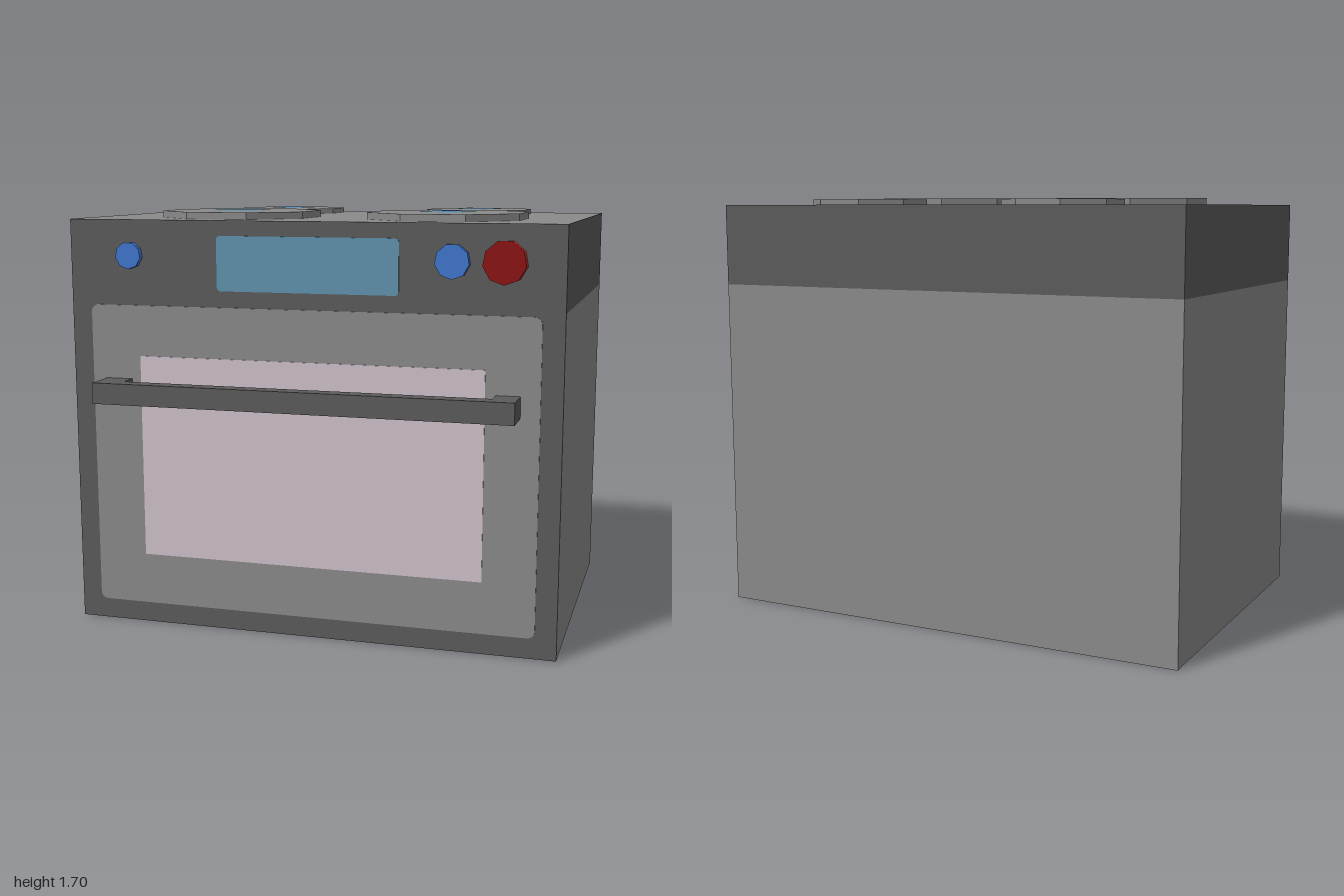
import * as THREE from 'three';

const mat = (name, color) => {
  const m = new THREE.MeshStandardMaterial({ color });
  m.name = name;
  return m;
};

export function createModel() {
  const light = mat('light grey', 0x8a8a8a);
  const dark = mat('dark grey', 0x5b5b5b);
  const glass = mat('window pink', 0xcfc0cb);
  const display = mat('display blue', 0x6092ae);
  const blue = mat('knob blue', 0x3f76cc);
  const red = mat('knob red', 0xd42626);
  const darkRed = mat('knob face red', 0x8c1414);

  const model = new THREE.Group();
  model.name = 'oven';
  const add = (name, geometry, material, parent = model) => {
    const mesh = new THREE.Mesh(geometry, material);
    mesh.name = name;
    parent.add(mesh);
    return mesh;
  };
  // Box given by its limits on each axis
  const box = (name, [x0, x1], [y0, y1], [z0, z1], material, parent) =>
    add(name, new THREE.BoxGeometry(x1 - x0, y1 - y0, z1 - z0)
      .translate((x0 + x1) / 2, (y0 + y1) / 2, (z0 + z1) / 2), material, parent);
  // Thin front plate with rounded corners
  const plate = (name, [x0, x1], [y0, y1], r, z, material) => {
    const s = new THREE.Shape();
    s.moveTo(x0 + r, y0);
    s.lineTo(x1 - r, y0);
    s.absarc(x1 - r, y0 + r, r, -Math.PI / 2, 0);
    s.absarc(x1 - r, y1 - r, r, 0, Math.PI / 2);
    s.absarc(x0 + r, y1 - r, r, Math.PI / 2, Math.PI);
    s.absarc(x0 + r, y0 + r, r, Math.PI, Math.PI * 1.5);
    const g = new THREE.ExtrudeGeometry(s, { depth: 0.004, bevelEnabled: false, curveSegments: 5 });
    return add(name, g.translate(0, 0, z), material);
  };

  // Body: light lower cabinet, dark upper band, light hob surface, dark front
  const back = -0.745, front = 0.6;
  box('cabinet', [-1, 1], [0.002, 1.345], [back, front], [light, light, light, dark, dark, light]);
  box('upperBand', [-1, 1], [1.345, 1.672], [back, front], [dark, dark, light, dark, dark, dark]);
  box('rearBottomStrip', [-1, 1], [0, 0.002], [back, back + 0.04], light);

  // Door, window and display
  plate('door', [-0.915, 0.915], [0.085, 1.33], 0.03, front, light);
  box('window', [-0.705, 0.705], [0.295, 1.125], [front, front + 0.007], glass);
  plate('display', [-0.37, 0.367], [1.395, 1.612], 0.015, front, display);

  // Handle: bar on two arms
  const handle = new THREE.Group();
  handle.name = 'handle';
  model.add(handle);
  const hy = [0.945, 1.03];
  box('handleBar', [-0.855, 0.84], hy, [0.68, 0.745], dark, handle);
  box('handleArmRight', [-0.855, -0.745], hy, [front, 0.68], dark, handle);
  box('handleArmLeft', [0.745, 0.84], hy, [front, 0.68], dark, handle);

  // Knobs
  const knobs = [
    ['timerKnob', -0.74, 0.054, 0.025, blue, blue],
    ['smallKnob', 0.575, 0.067, 0.028, blue, blue],
    ['largeKnob', 0.775, 0.083, 0.045, red, darkRed],
  ];
  for (const [name, x, r, d, side, face] of knobs) {
    const g = new THREE.CylinderGeometry(r, r, d, 9).rotateX(Math.PI / 2);
    add(name, g, [side, face, side]).position.set(x, 1.53, front + d / 2);
  }

  // Burners: octagonal plates with two coloured discs
  const burners = [
    ['frontRightBurner', -0.405, 0.205, 0.33, 1.7, 0.117, 0.05],
    ['frontLeftBurner', 0.475, 0.205, 0.33, 1.7, 0.117, 0.05],
    ['rearRightBurner', -0.4, -0.46, 0.238, 1.694, 0.098, 0.04],
    ['rearLeftBurner', 0.48, -0.46, 0.238, 1.694, 0.098, 0.04],
  ];
  for (const [name, x, z, r, top, outer, inner] of burners) {
    const burner = new THREE.Group();
    burner.name = name;
    burner.position.set(x, top, z);
    model.add(burner);
    const h = top - 1.672;
    add('burnerPlate', new THREE.CylinderGeometry(r, r, h, 8).rotateY(Math.PI / 8)
      .toNonIndexed().translate(0, -h / 2, 0), light, burner).geometry.computeVertexNormals();
    const disc = (n, rad, y, m) =>
      add(n, new THREE.CircleGeometry(rad, 16).rotateX(-Math.PI / 2).translate(0, y, 0), m, burner);
    disc('outerRing', outer, 0.002, display);
    disc('innerSpot', inner, 0.004, blue);
  }
  return model;
}
